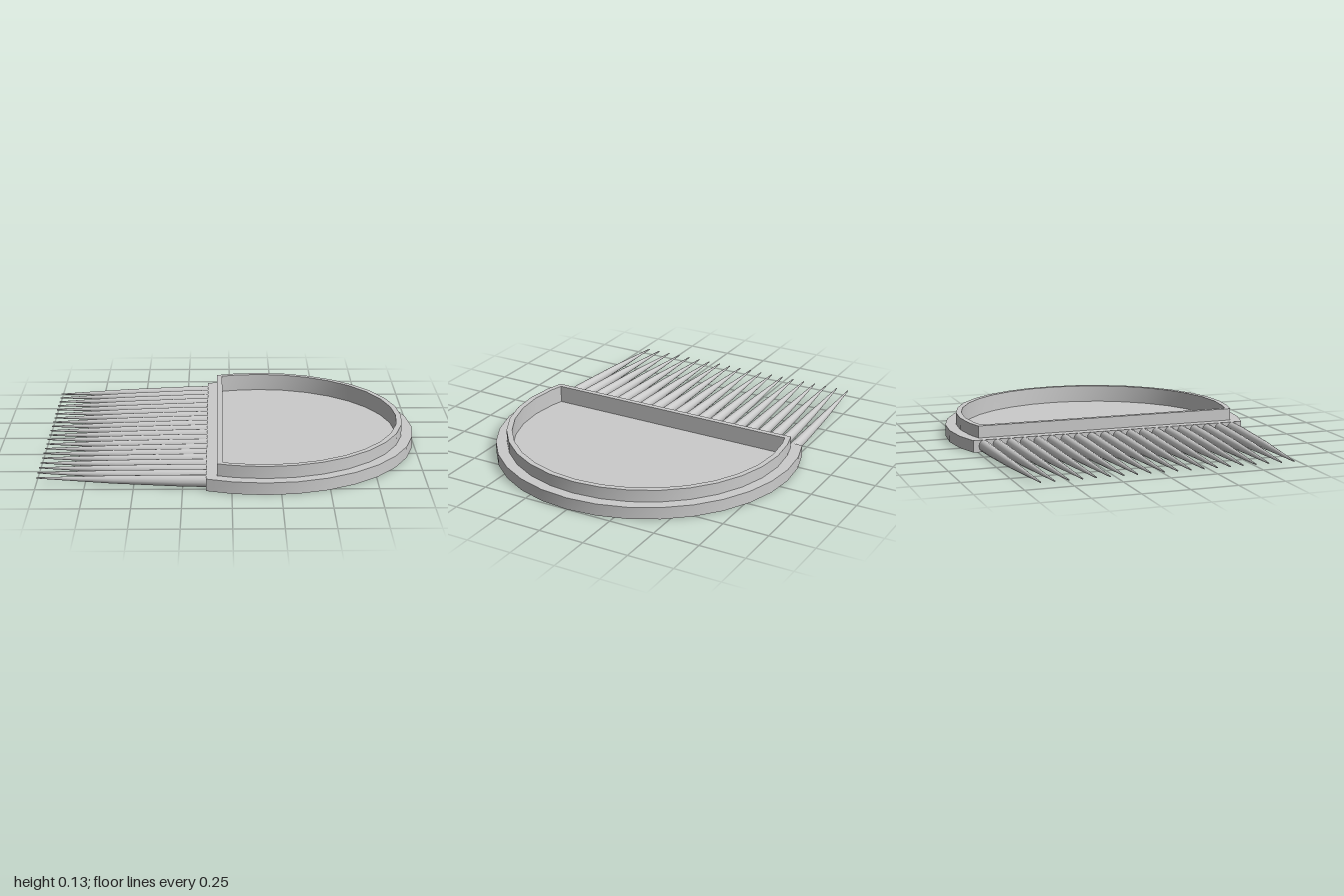
import * as THREE from 'three';
import { toCreasedNormals } from 'three/addons/utils/BufferGeometryUtils.js';

const CX = 0.17; // centre of the round back

// D-shaped outline: an arc around CX, cut off straight at x = left
function outline(r, left, y) {
  const end = Math.acos((left - CX) / r);
  const step = Math.PI / 16;
  const angles = [-end];
  for (let k = -9; k <= 9; k++) angles.push(k * step);
  angles.push(end);
  return angles.map(t => new THREE.Vector3(CX + r * Math.cos(t), y, r * Math.sin(t)));
}

// Outline collapsed to one point, closing the skin
function centre(y) {
  return Array.from({ length: 21 }, () => new THREE.Vector3(0.3, y, 0));
}

// Skin the stacked outlines from the underside, over the rim, into the recess
function skin(rows) {
  const pos = [];
  const tri = (...pts) => pts.forEach(p => pos.push(p.x, p.y, p.z));
  for (let i = 0; i < rows.length - 1; i++) {
    const a = rows[i], b = rows[i + 1];
    for (let j = 0; j < a.length; j++) {
      const k = (j + 1) % a.length;
      if (i > 0) tri(a[j], b[j], a[k]);
      if (i < rows.length - 2) tri(a[k], b[j], b[k]);
    }
  }
  const geo = new THREE.BufferGeometry();
  geo.setAttribute('position', new THREE.Float32BufferAttribute(pos, 3));
  return toCreasedNormals(geo, Math.PI / 5);
}

// Tapered round tooth pointing to -x, its tip shifted sideways by lean
function toothGeometry(lean) {
  const profile = [[1, 0], [0.95, 0.14], [0.66, 0.48], [0.38, 0.68], [0.1, 0.88], [0, 0.88]]
    .map(([r, h]) => new THREE.Vector2(r, h));
  const geo = new THREE.LatheGeometry(profile, 12);
  geo.rotateZ(Math.PI / 2);
  geo.scale(1, 0.0325, 0.0275);
  const p = geo.attributes.position;
  for (let i = 0; i < p.count; i++) {
    const t = Math.max(0, -p.getX(i) / 0.88);
    p.setZ(i, p.getZ(i) + lean * Math.pow(t, 1.3));
  }
  return geo;
}

export function createModel() {
  const group = new THREE.Group();
  const material = new THREE.MeshStandardMaterial({ color: 0xcccccc });

  // Handle: flat base, stepped rim and hollow face
  const handle = new THREE.Mesh(skin([
    centre(0),
    outline(0.83, -0.13, 0),
    outline(0.83, -0.13, 0.065),
    outline(0.77, -0.075, 0.065),
    outline(0.77, -0.075, 0.13),
    outline(0.74, -0.045, 0.13),
    outline(0.74, -0.045, 0.035),
    centre(0.035),
  ]), material);
  handle.name = 'handle';
  group.add(handle);

  // Row of teeth, converging slightly towards the tips
  const teeth = new THREE.Group();
  teeth.name = 'teeth';
  const count = 20;
  for (let i = 0; i < count; i++) {
    const s = (2 * i) / (count - 1) - 1;
    const tooth = new THREE.Mesh(toothGeometry(-0.047 * s), material);
    tooth.name = 'tooth' + (i + 1);
    tooth.position.set(-0.12, 0.0325, 0.717 * s);
    teeth.add(tooth);
  }
  group.add(teeth);
  return group;
}
